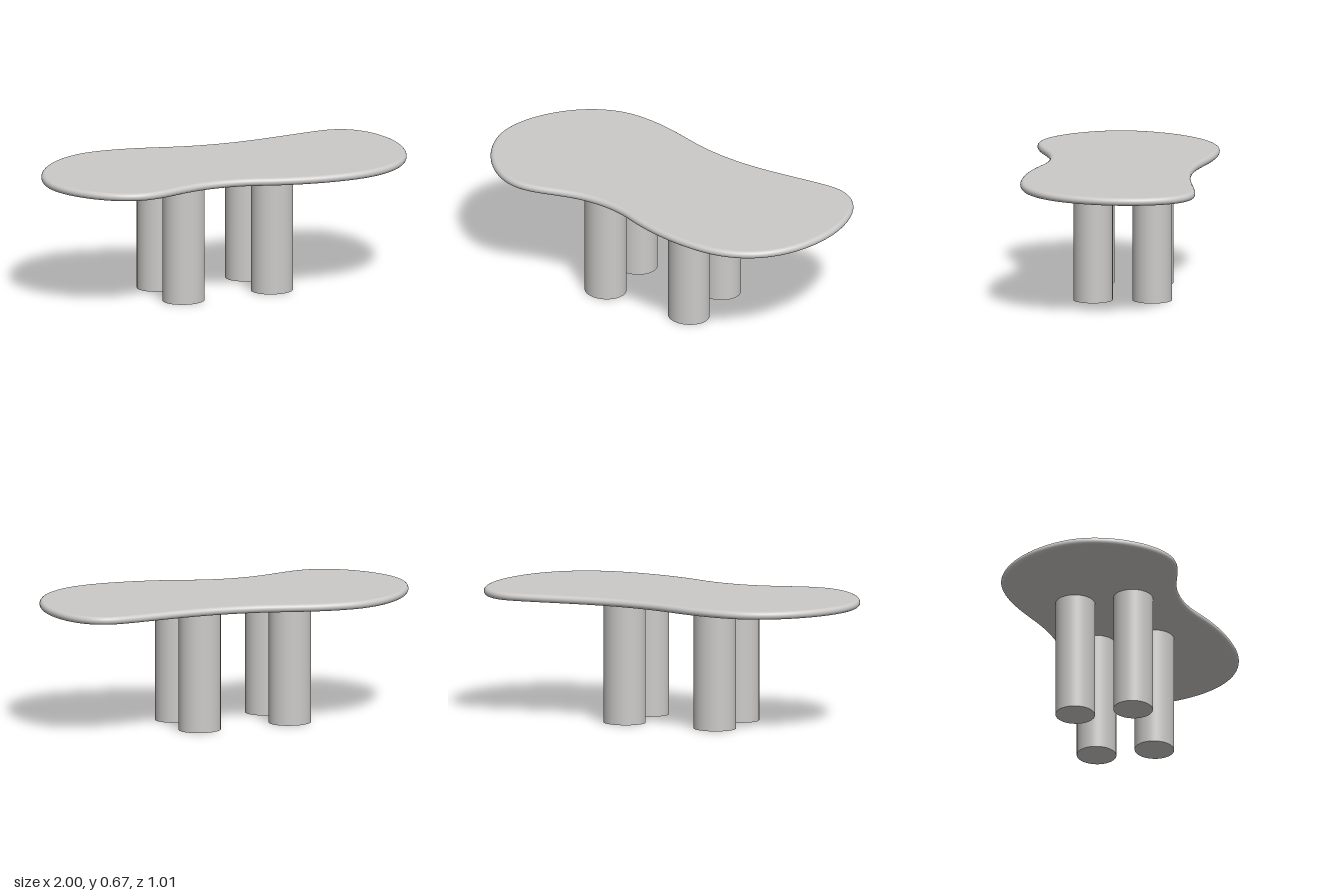
import * as THREE from 'three';

const TOP_Y = 0.67;
const BOTTOM_Y = 0.63;
const EDGE_R = (TOP_Y - BOTTOM_Y) / 2;

// Freeform tabletop outline: Bezier segments in (x, z), each continuing from the last
const START = [-1, 0];
const SEGMENTS = [
  [-1, -0.22, -0.78, -0.51, -0.5, -0.51],
  [-0.3, -0.51, -0.15, -0.43, 0, -0.4],
  [0.1, -0.38, 0.18, -0.373, 0.27, -0.373],
  [0.45, -0.373, 0.62, -0.405, 0.75, -0.405],
  [0.92, -0.405, 1, -0.25, 1, -0.05],
  [1, 0.12, 0.9, 0.5, 0.48, 0.5],
  [0.3, 0.5, 0.13, 0.455, 0, 0.4],
  [-0.07, 0.375, -0.14, 0.36, -0.23, 0.36],
  [-0.4, 0.36, -0.5, 0.43, -0.63, 0.43],
  [-0.82, 0.43, -1, 0.2, -1, 0],
];

function outlinePoints() {
  const path = new THREE.Path();
  path.moveTo(...START);
  for (const s of SEGMENTS) path.bezierCurveTo(...s);
  return path.getSpacedPoints(192).slice(0, 192);
}

// Move the closed outline inward along its normals
function inset(points, d) {
  const n = points.length;
  return points.map((p, i) => {
    const t = points[(i + 1) % n].clone().sub(points[(i + n - 1) % n]).normalize();
    return new THREE.Vector2(p.x - t.y * d, p.y + t.x * d);
  });
}

// Half-round edge swept around the outline
function rimGeometry(points, steps) {
  const n = points.length;
  const positions = [];
  const index = [];
  for (let k = 0; k <= steps; k++) {
    const a = -Math.PI / 2 + (Math.PI * k) / steps;
    const y = (TOP_Y + BOTTOM_Y) / 2 + EDGE_R * Math.sin(a);
    for (const p of inset(points, EDGE_R * (1 - Math.cos(a)))) positions.push(p.x, y, p.y);
  }
  for (let k = 0; k < steps; k++) {
    for (let i = 0; i < n; i++) {
      const a = k * n + i;
      const b = k * n + ((i + 1) % n);
      index.push(a, a + n, b, b, a + n, b + n);
    }
  }
  const geometry = new THREE.BufferGeometry();
  geometry.setAttribute('position', new THREE.Float32BufferAttribute(positions, 3));
  geometry.setIndex(index);
  geometry.computeVertexNormals();
  return geometry;
}

// Flat face of the tabletop, facing up (side 1) or down (side -1)
function faceGeometry(points, side) {
  const shape = new THREE.Shape(points.map((p) => new THREE.Vector2(p.x, -side * p.y)));
  return new THREE.ShapeGeometry(shape)
    .rotateX((-side * Math.PI) / 2)
    .translate(0, side > 0 ? TOP_Y : BOTTOM_Y, 0);
}

export function createModel() {
  const model = new THREE.Group();
  model.name = 'table';
  const stone = new THREE.MeshStandardMaterial({ color: 0xcccac8 });
  stone.name = 'pale grey';

  const add = (parent, name, geometry) => {
    const mesh = new THREE.Mesh(geometry, stone);
    mesh.name = name;
    parent.add(mesh);
    return mesh;
  };

  // Tabletop
  const tabletop = new THREE.Group();
  tabletop.name = 'tabletop';
  model.add(tabletop);
  const outline = outlinePoints();
  const inner = inset(outline, EDGE_R);
  add(tabletop, 'tabletopEdge', rimGeometry(outline, 12));
  add(tabletop, 'tabletopUpperFace', faceGeometry(inner, 1));
  add(tabletop, 'tabletopUnderside', faceGeometry(inner, -1));

  // Four slightly oval column legs
  const legGeometry = new THREE.CylinderGeometry(1, 1, BOTTOM_Y, 64)
    .scale(0.11, 1, 0.1015)
    .translate(0, BOTTOM_Y / 2, 0);
  for (const [xName, x] of [['Right', -0.295], ['Left', 0.21]]) {
    for (const [zName, z] of [['front', 0.13], ['back', -0.175]]) {
      add(model, `${zName}${xName}Leg`, legGeometry).position.set(x, 0, z);
    }
  }

  return model;
}
